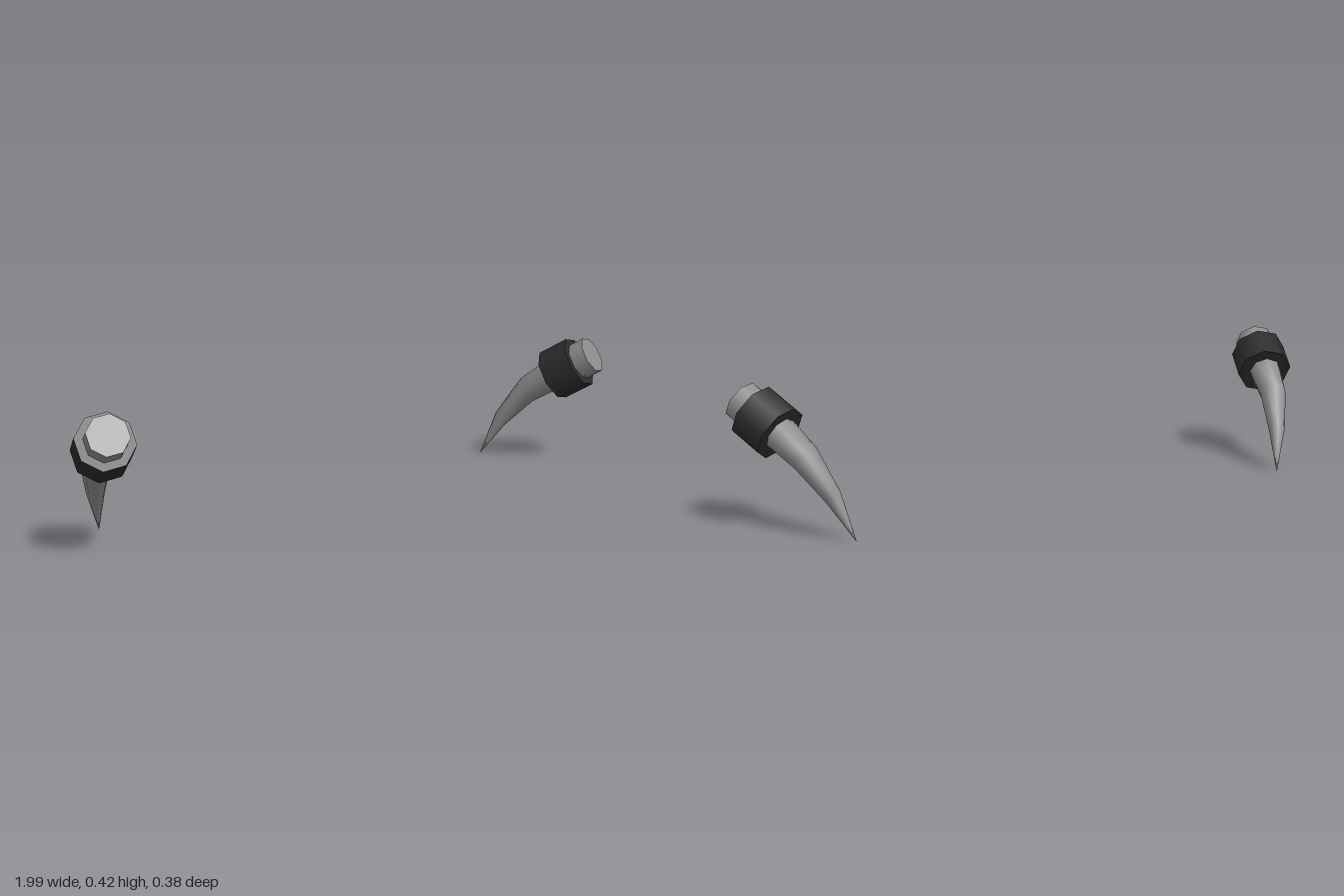
import * as THREE from 'three';

const hornMaterial = new THREE.MeshStandardMaterial({ color: 0x8d8d8d });
hornMaterial.name = 'hornGrey';
const collarMaterial = new THREE.MeshStandardMaterial({ color: 0x2b2b2b });
collarMaterial.name = 'collarBlack';
const SIDES = 8;

// Eight-sided cylinder between two points, with a flat facing the plane x = 0 direction
function rod(name, from, to, radius, material) {
  const axis = to.clone().sub(from);
  const geometry = new THREE.CylinderGeometry(radius, radius, axis.length(), SIDES, 1, false, Math.PI / SIDES);
  axis.normalize();
  const across = new THREE.Vector3(0, axis.z, -axis.y).normalize();
  const side = across.clone().cross(axis);
  const mesh = new THREE.Mesh(geometry, material);
  mesh.quaternion.setFromRotationMatrix(new THREE.Matrix4().makeBasis(across, axis, side));
  mesh.position.copy(from).add(to).multiplyScalar(0.5);
  mesh.name = name;
  return mesh;
}

// Tapered horn: each ring faces away from the root, closing to a point
function hornGeometry(points, radii) {
  const positions = [], index = [];
  const up = new THREE.Vector3(0, 1, 0);
  points.forEach((p, i) => {
    const normal = points[Math.max(i, 1)].clone().sub(points[0]).normalize();
    const side = normal.clone().cross(up).normalize();
    const top = side.clone().cross(normal);
    for (let k = 0; k < SIDES; k++) {
      const a = (k / SIDES) * Math.PI * 2;
      const v = p.clone()
        .addScaledVector(side, Math.cos(a) * radii[i])
        .addScaledVector(top, Math.sin(a) * radii[i]);
      positions.push(v.x, v.y, v.z);
      if (i === 0) continue;
      const n = (k + 1) % SIDES;
      const a0 = (i - 1) * SIDES + k, b0 = (i - 1) * SIDES + n;
      const a1 = i * SIDES + k, b1 = i * SIDES + n;
      index.push(a0, b1, b0, a0, a1, b1);
    }
  });
  const geometry = new THREE.BufferGeometry();
  geometry.setAttribute('position', new THREE.Float32BufferAttribute(positions, 3));
  geometry.setIndex(index);
  geometry.computeVertexNormals();
  return geometry;
}

function buildHorn(s, name) {
  const at = (x, y, z) => new THREE.Vector3(s * x, y, z);
  const group = new THREE.Group();
  group.name = name;

  // Stump in front of the collar
  group.add(rod('stump', at(0.895, 0.3, 0.05), at(0.938, 0.364, 0.15), 0.062, hornMaterial));

  // Dark collar
  group.add(rod('collar', at(0.883, 0.284, 0.027), at(0.921, 0.337, 0.109), 0.0866, collarMaterial));

  // Curved horn behind the collar
  const path = [at(0.895, 0.3, 0.05), at(0.878, 0.277, 0.013), at(0.849, 0.226, -0.059),
    at(0.804, 0.123, -0.134), at(0.762, 0, -0.188)];
  const horn = new THREE.Mesh(hornGeometry(path, [0.053, 0.05, 0.043, 0.026, 0.0005]), hornMaterial);
  horn.name = 'horn';
  group.add(horn);
  return group;
}

export function createModel() {
  const model = new THREE.Group();
  model.name = 'hornPair';
  model.add(buildHorn(1, 'leftHorn'), buildHorn(-1, 'rightHorn'));
  return model;
}
